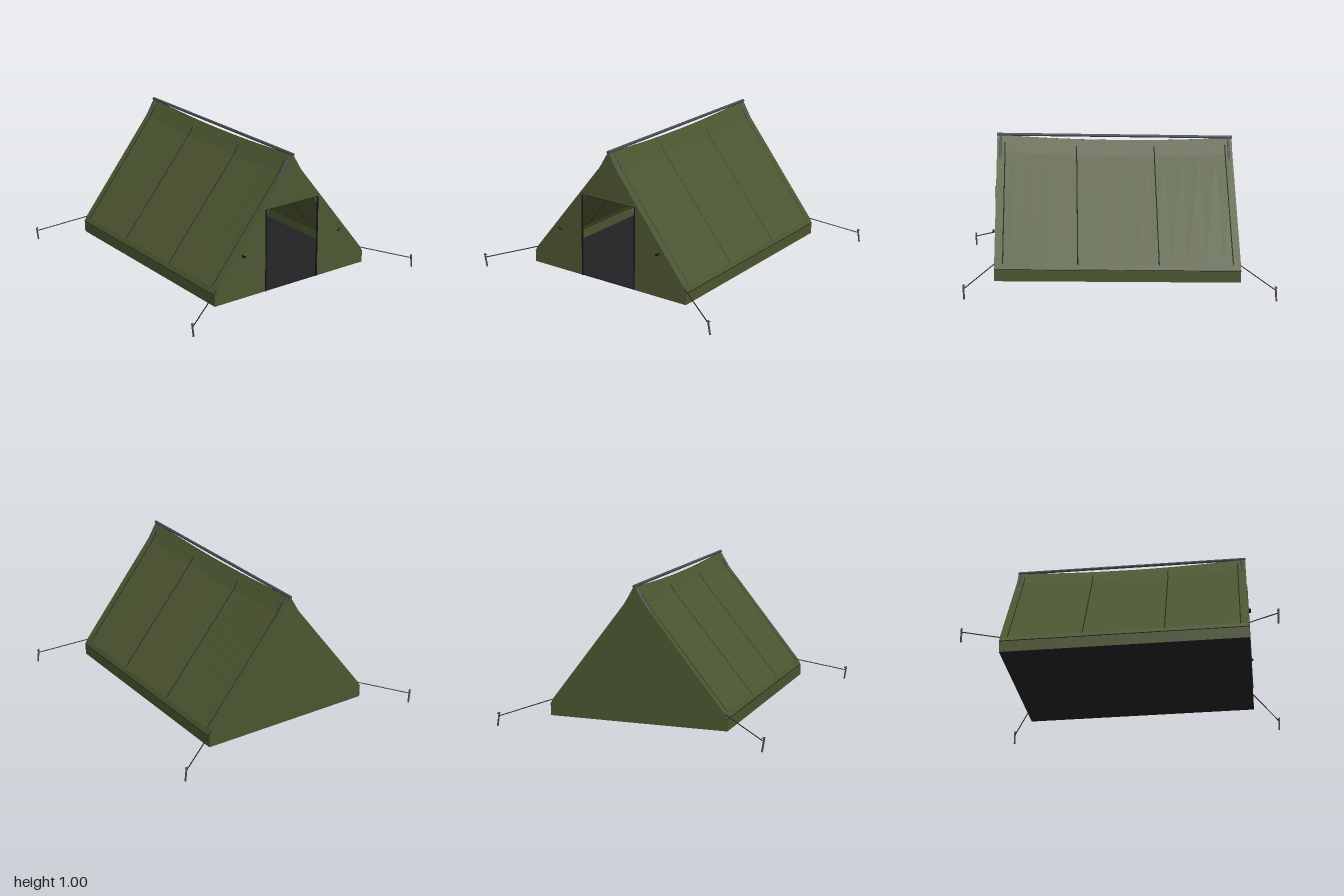
import * as THREE from 'three';

const L = 0.81; // half length of the tent
// Right-hand half of the cross-section: floor edge, eave, shoulder, upper kink, ridge
const PROFILE = [[0.62, 0], [0.62, 0.08], [0.604, 0.112], [0.067, 0.785], [0.003, 0.893]];

export function createModel() {
  const mat = (name, color, side = THREE.FrontSide) => {
    const m = new THREE.MeshStandardMaterial({ color, side });
    m.name = name;
    return m;
  };
  const canvas = mat('olive canvas', 0x4c5631, THREE.DoubleSide);
  const metal = mat('grey metal', 0x4a4a52);
  const seamMat = mat('dark olive seam', 0x262b19);
  const groundMat = mat('black groundsheet', 0x222224);
  const trim = mat('black trim', 0x141414);
  const ropeMat = mat('dark rope', 0x2a2a26);

  const model = new THREE.Group();
  model.name = 'ridgeTent';
  const tent = new THREE.Group();
  tent.name = 'tent';
  model.add(tent);

  const add = (name, geometry, material, parent = tent) => {
    const m = new THREE.Mesh(geometry, material);
    m.name = name;
    parent.add(m);
    return m;
  };
  // Straight rod between two points
  const rod = (name, a, b, r, material, sides = 8) => {
    const p = new THREE.Vector3(...a), q = new THREE.Vector3(...b);
    const d = q.clone().sub(p);
    const m = add(name, new THREE.CylinderGeometry(r, r, d.length(), sides), material);
    m.position.copy(p).add(q).multiplyScalar(0.5);
    m.quaternion.setFromUnitVectors(new THREE.Vector3(0, 1, 0), d.normalize());
    return m;
  };
  // The canvas sags a little between its two ends
  const sag = (y, z) => y - 0.027 * (y / 0.893) * Math.max(0, 1 - (z / L) ** 2);

  // Side wall and roof sheet, one per side
  const sheet = (sx) => {
    const nz = 14, rows = PROFILE.length - 1;
    const g = new THREE.PlaneGeometry(2 * L, 1, nz, rows);
    const p = g.attributes.position;
    for (let i = 0; i < p.count; i++) {
      const z = -sx * p.getX(i);
      const [x, y] = PROFILE[Math.round((p.getY(i) + 0.5) * rows)];
      p.setXYZ(i, sx * x, sag(y, z), z);
    }
    const flat = g.toNonIndexed();
    flat.computeVertexNormals();
    return flat;
  };
  for (const sx of [1, -1]) {
    const side = sx > 0 ? 'left' : 'right';
    add(side + 'Roof', sheet(sx), canvas);
    // Eave seam
    rod(side + 'EaveSeam', [sx * 0.62, 0.078, -L], [sx * 0.62, 0.078, L], 0.003, seamMat, 6);
    // Panel seams running down the roof
    for (const z of [-0.76, -0.27, 0.265, 0.755]) {
      const pts = [PROFILE[2], PROFILE[3], [0.03, 0.848]].map(([x, y]) => [sx * x, sag(y, z), z]);
      rod(side + 'PanelSeam', pts[0], pts[1], 0.0035, seamMat, 6);
      rod(side + 'PanelSeam', pts[1], pts[2], 0.0035, seamMat, 6);
    }
    // A-frame poles
    for (const z of [-0.785, 0.785])
      rod(side + 'FramePole', [sx * 0.52, 0.05, z], [0, 0.893, z], 0.008, metal);
  }

  // Ridge pole
  rod('ridgePole', [0, 0.896, -L - 0.003], [0, 0.896, L + 0.003], 0.01, metal, 10);

  // End walls, the front one with a doorway
  const DX = 0.213, DY = 0.567;
  const endWall = (door) => {
    const s = new THREE.Shape();
    const mirrored = PROFILE.map(([x, y]) => [-x, y]).reverse();
    [...PROFILE, ...mirrored].forEach(([x, y], i) => (i ? s.lineTo(x, y) : s.moveTo(x, y)));
    if (door) [[-DX, 0], [-DX, DY], [DX, DY], [DX, 0]].forEach(([x, y]) => s.lineTo(x, y));
    s.closePath();
    return new THREE.ShapeGeometry(s);
  };
  add('frontWall', endWall(true), canvas).position.z = L;
  const back = add('backWall', endWall(false), canvas);
  back.position.z = -L;
  back.rotation.y = Math.PI;

  // Groundsheet
  add('groundsheet', new THREE.BoxGeometry(1.238, 0.008, 2 * L - 0.002), groundMat).position.y = 0.004;

  // Doorway trim, corner gussets and door toggles
  add('doorTopTrim', new THREE.BoxGeometry(2 * DX, 0.005, 0.005), seamMat).position.set(0, DY, L);
  for (const sx of [1, -1]) {
    add('doorSideTrim', new THREE.BoxGeometry(0.008, DY, 0.008), trim).position.set(sx * DX, DY / 2, L);
    rod('doorGusset', [sx * (DX - 0.004), DY - 0.04, L - 0.006],
      [sx * (DX - 0.03), DY - 0.003, L - 0.006], 0.005, metal, 6);
    rod('doorToggle', [sx * 0.412, 0.302, L + 0.01], [sx * 0.388, 0.286, L + 0.01], 0.007, trim);
  }

  // Guy ropes and pegs at the four corners
  for (const sx of [1, -1]) for (const sz of [1, -1]) {
    const px = sx * 0.915, pz = sz * 0.99;
    rod('guyRope', [sx * 0.606, 0.11, sz * L], [px, 0.015, pz], 0.0035, ropeMat, 6);
    rod('peg', [px + 0.007, -0.053, pz - 0.003], [px - 0.007, 0.04, pz + 0.003], 0.006, metal);
    rod('pegHook', [px - 0.007, 0.034, pz + 0.003], [px + 0.007, 0.034, pz - 0.005], 0.004, metal, 6);
  }

  // The whole tent rests at a slight tilt
  tent.rotation.set(-0.0185, 0, -0.008);
  tent.position.set(0, 0.083, 0);
  return model;
}
